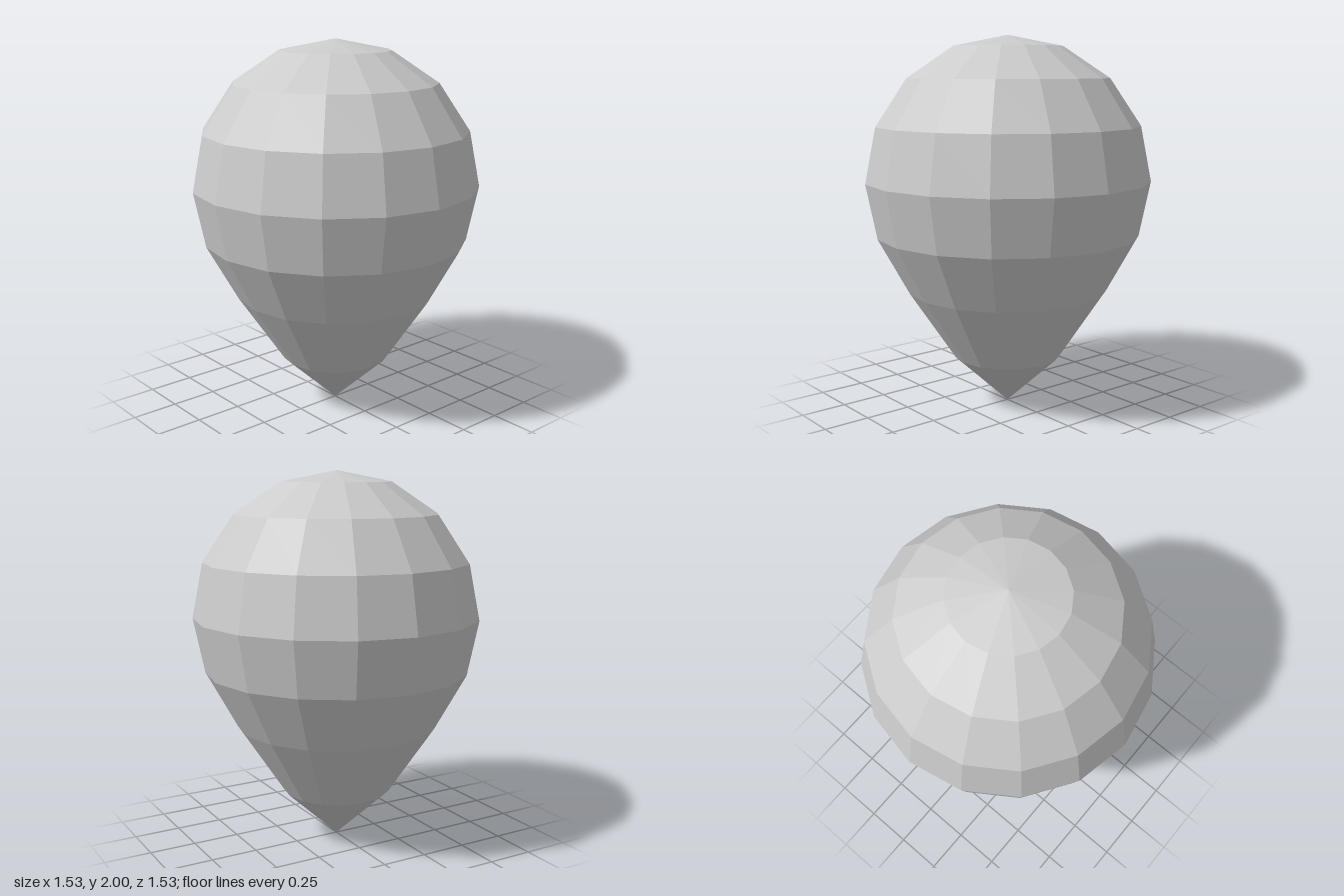
import * as THREE from 'three';

export function createModel() {
  const group = new THREE.Group();
  group.name = 'teardropBalloon';

  const radius = 0.763, centreY = 2 - radius;
  const profile = [];

  // Tapered lower half: sphere radii with stretched heights, down to a point
  [0, 0.27, 0.643, 0.945].forEach((y, i) => {
    profile.push(new THREE.Vector2(radius * Math.sin((i * Math.PI) / 8), y));
  });

  // Round upper half: equator to pole
  for (let i = 4; i >= 0; i--) {
    const a = (i * Math.PI) / 8;
    profile.push(new THREE.Vector2(radius * Math.sin(a), centreY + radius * Math.cos(a)));
  }

  // Faceted body with 16 sides
  const body = new THREE.Mesh(
    new THREE.LatheGeometry(profile, 16),
    new THREE.MeshStandardMaterial({ color: 0xcccccc, flatShading: true })
  );
  body.name = 'body';
  group.add(body);
  return group;
}
